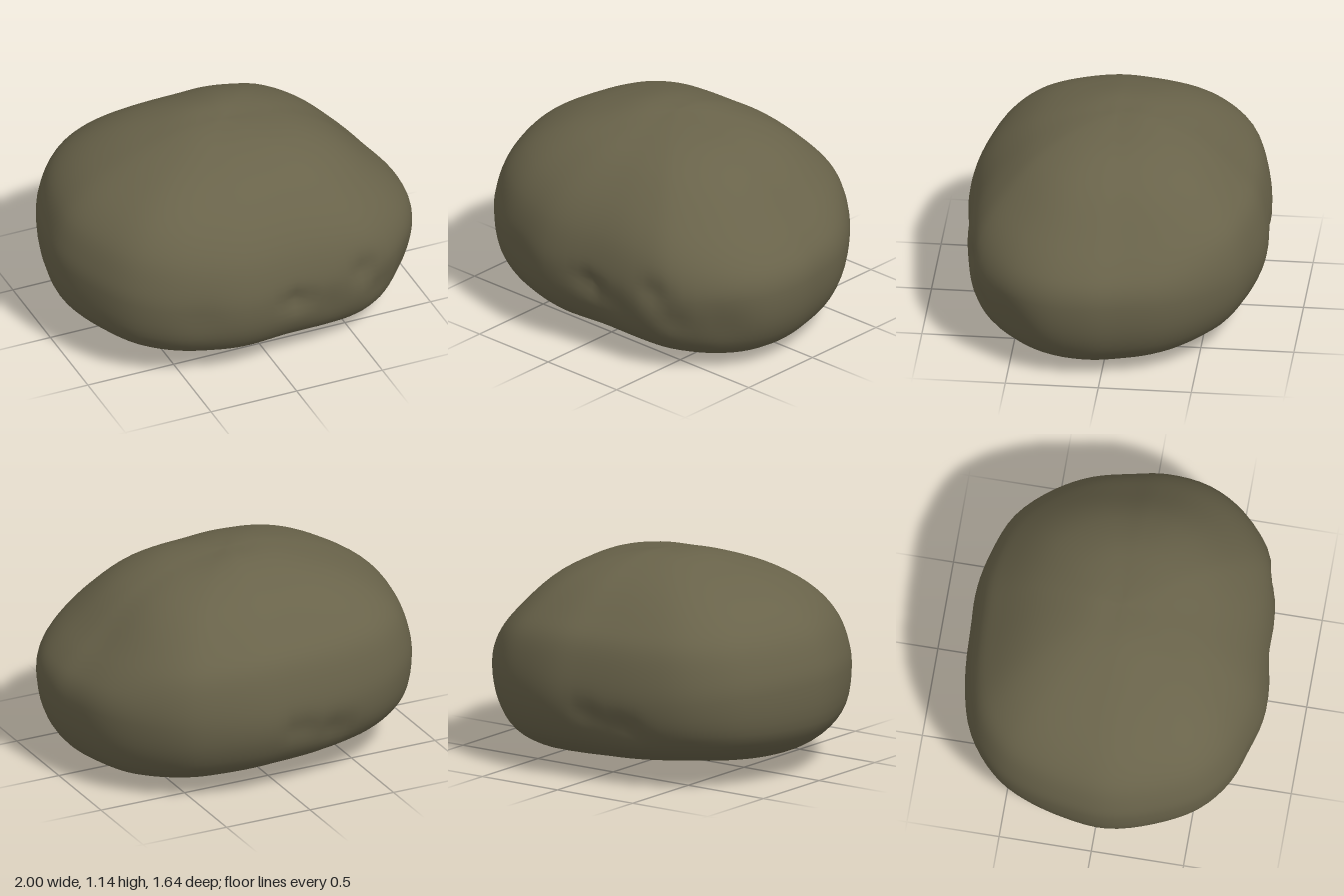
import * as THREE from 'three';

// Plan outline: [x, z] around the boulder, starting at +x and turning towards +z
const PLAN = [
  [1, 0.08], [0.97, 0.32], [0.85, 0.53], [0.62, 0.71], [0.4, 0.765], [0.1, 0.79], [-0.2, 0.815], [-0.4, 0.78],
  [-0.62, 0.7], [-0.8, 0.56], [-0.93, 0.33], [-1, 0.08], [-0.98, -0.15], [-0.91, -0.4], [-0.81, -0.57],
  [-0.62, -0.72], [-0.36, -0.795], [0, -0.82], [0.2, -0.82], [0.4, -0.775], [0.6, -0.69], [0.8, -0.5],
  [0.91, -0.32], [0.97, -0.1],
];

// Four meridians from crown to underside: reach (share of plan radius) and heights
const REACH = [0, 0.2, 0.4, 0.6, 0.8, 0.92, 0.98, 1, 0.97, 0.88, 0.7, 0.4, 0];
const HEIGHTS = {
  left: [1.145, 1.12, 1.075, 0.97, 0.785, 0.66, 0.57, 0.47, 0.27, 0.12, 0.03, 0.02, 0.06],
  right: [1.145, 1.145, 1.1, 1.03, 0.92, 0.8, 0.66, 0.54, 0.31, 0.19, 0.1, 0.05, 0.06],
  front: [1.145, 1.125, 1.08, 1.0, 0.86, 0.72, 0.58, 0.45, 0.29, 0.17, 0.09, 0.06, 0.06],
  back: [1.145, 1.145, 1.1, 1.015, 0.88, 0.77, 0.62, 0.46, 0.33, 0.2, 0.11, 0.06, 0.06],
};

// Hollows, and swells with a negative depth: x, y, z, radius, depth
const BUMPS = [
  // worn front
  [0.1, 0.42, 0.8, 0.07, 0.04], [0.52, 0.48, 0.72, 0.08, 0.035], [0.62, 0.33, 0.68, 0.09, 0.025],
  [0.82, 0.3, 0.5, 0.14, 0.025], [0.3, 0.33, 0.77, 0.1, 0.015], [-0.45, 0.42, 0.76, 0.12, 0.01],
  // worn back
  [-0.05, 0.38, -0.82, 0.08, 0.025], [-0.28, 0.33, -0.8, 0.09, 0.03],
  // rounded shoulders
  [0.55, 0.85, -0.5, 0.32, -0.035], [-0.55, 0.9, 0.5, 0.32, -0.02], [-0.58, 0.88, -0.5, 0.3, -0.015],
  // underside
  [-0.5, 0.08, -0.45, 0.32, 0.04], [0.45, 0.03, 0.2, 0.3, -0.025],
];

const smoothCurve = (points, closed) => new THREE.CatmullRomCurve3(points, closed, 'centripetal');
const outline = smoothCurve(PLAN.map(([x, z]) => new THREE.Vector3(x, 0, z)), true);
const profiles = Object.fromEntries(Object.entries(HEIGHTS).map(([side, ys]) =>
  [side, smoothCurve(ys.map((y, i) => new THREE.Vector3(REACH[i], y, 0)), false)]));

function boulderGeometry(around = 96, down = 48) {
  const positions = [], indices = [];
  const centre = new THREE.Vector3(0, 0.5, 0);

  const addPoint = (p) => {
    const inward = centre.clone().sub(p).normalize();
    let pull = 0;
    for (const [x, y, z, radius, depth] of BUMPS) {
      const d = p.distanceTo(new THREE.Vector3(x, y, z)) / radius;
      pull += depth * Math.exp(-d * d);
    }
    p.addScaledVector(inward, pull);
    positions.push(p.x, p.y, p.z);
  };

  // Rings between the two poles, each meridian blended from its two neighbours
  addPoint(new THREE.Vector3(0, HEIGHTS.left[0], 0));
  for (let i = 1; i < down; i++) {
    const at = Object.fromEntries(Object.entries(profiles).map(([k, c]) => [k, c.getPoint(i / down)]));
    for (let j = 0; j < around; j++) {
      const rim = outline.getPoint(j / around);
      const p = (rim.x > 0 ? at.left : at.right).clone()
        .lerp(rim.z > 0 ? at.front : at.back, rim.z ** 2 / rim.lengthSq());
      addPoint(new THREE.Vector3(rim.x * p.x, p.y, rim.z * p.x));
    }
  }
  addPoint(new THREE.Vector3(0, HEIGHTS.left.at(-1), 0));

  const last = positions.length / 3 - 1;
  const id = (i, j) => 1 + (i - 1) * around + (j % around);
  for (let j = 0; j < around; j++) {
    indices.push(0, id(1, j + 1), id(1, j));
    for (let i = 1; i < down - 1; i++) {
      const a = id(i, j), b = id(i, j + 1), c = id(i + 1, j), d = id(i + 1, j + 1);
      indices.push(a, b, c, b, d, c);
    }
    indices.push(last, id(down - 1, j), id(down - 1, j + 1));
  }

  const geometry = new THREE.BufferGeometry();
  geometry.setAttribute('position', new THREE.Float32BufferAttribute(positions, 3));
  geometry.setIndex(indices);
  geometry.computeVertexNormals();
  return geometry;
}

export function createModel() {
  const stone = new THREE.MeshStandardMaterial({ color: 0x69634a });
  stone.name = 'olive stone';
  const boulder = new THREE.Mesh(boulderGeometry(), stone);
  boulder.name = 'boulder';
  const group = new THREE.Group();
  group.name = 'rock';
  group.add(boulder);
  return group;
}
